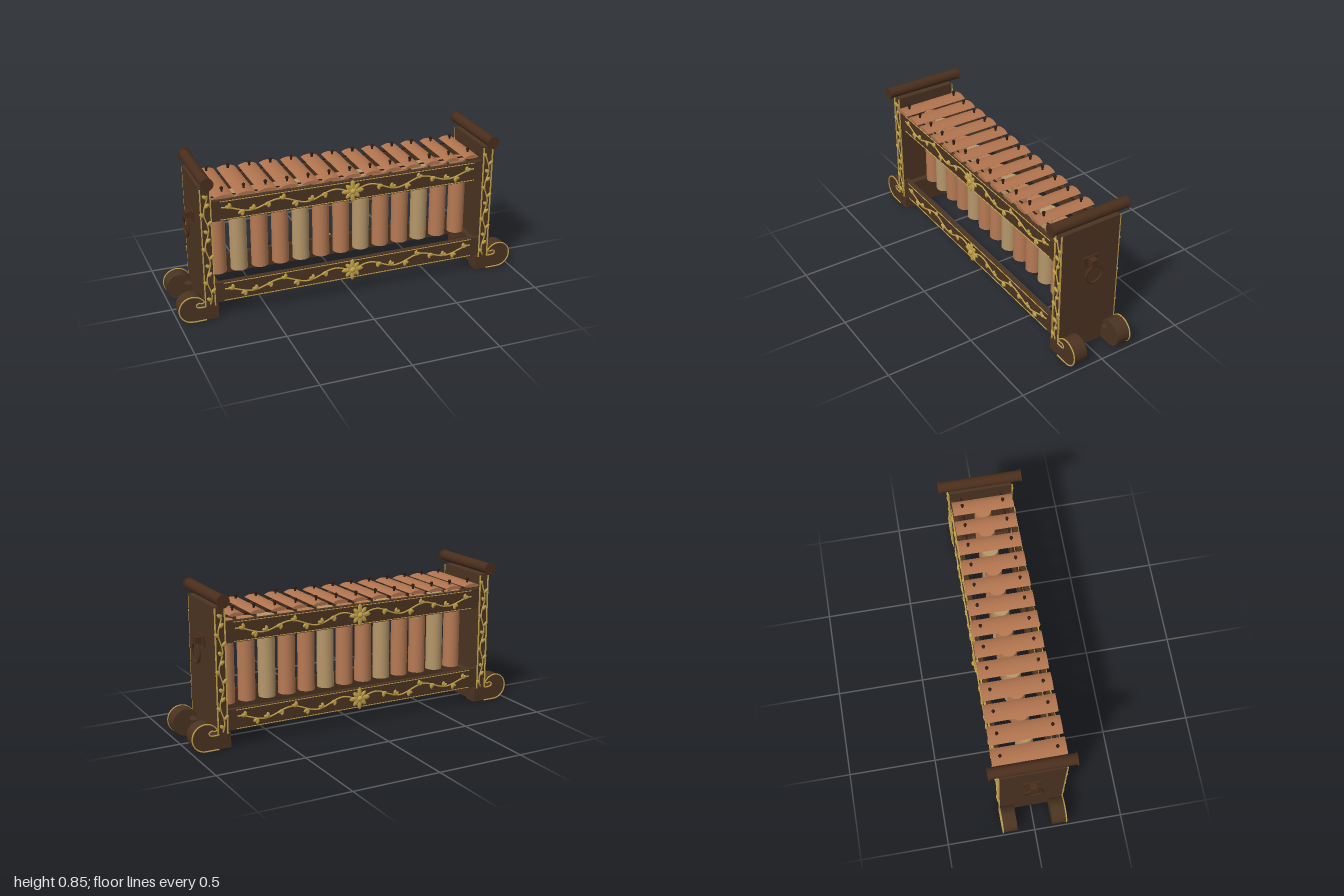
import * as THREE from 'three';

const material = (name, color, extra = {}) => {
  const m = new THREE.MeshStandardMaterial({ color, ...extra });
  m.name = name;
  return m;
};

export function createModel() {
  const wood = material('dark carved wood', 0x4b3321);
  const turned = material('turned wood', 0x4a2e1c);
  const gold = material('gold carving', 0xc2a24c);
  const keyWood = material('key wood', 0xb0734e);
  const tubeBrown = material('brown tube', 0xb67a54, { side: THREE.DoubleSide });
  const tubeTan = material('tan bamboo', 0xb6976a, { side: THREE.DoubleSide });
  const iron = material('dark iron', 0x2e1e15);

  const model = new THREE.Group();
  model.name = 'barInstrument';
  const V = (x, y, z) => new THREE.Vector3(x, y, z);

  const add = (parent, name, geo, mat, x = 0, y = 0, z = 0) => {
    const mesh = new THREE.Mesh(geo, mat);
    mesh.name = name;
    mesh.position.set(x, y, z);
    parent.add(mesh);
    return mesh;
  };
  // Box given by its limits
  const box = (parent, name, mat, x0, x1, y0, y1, z0, z1) =>
    add(parent, name, new THREE.BoxGeometry(Math.abs(x1 - x0), y1 - y0, z1 - z0), mat,
      (x0 + x1) / 2, (y0 + y1) / 2, (z0 + z1) / 2);
  const tube = (parent, name, points, r, mat, n = 60) =>
    add(parent, name, new THREE.TubeGeometry(new THREE.CatmullRomCurve3(points), n, r, 6), mat);

  // Leaf and petal: a flattened pointed bud, root at the origin, along +x
  const bud = new THREE.SphereGeometry(1, 10, 6);
  const leaf = (parent, x, y, z, angle, length = 0.034, width = 0.02, name = 'leaf') => {
    const m = add(parent, name, bud, gold,
      x + Math.cos(angle) * length / 2, y + Math.sin(angle) * length / 2, z);
    m.scale.set(length / 2, width / 2, 0.006);
    m.rotation.z = angle;
  };

  // Scroll foot outline, s = +1 or -1 for the side
  const footOutline = (s) => {
    const pts = [[0.78, 0.09], [0.78, 0.01], [0.85, 0.01]];
    for (let i = 0; i <= 22; i++) {
      const a = -Math.PI / 2 + (i / 22) * (Math.PI * 1.34);
      pts.push([0.924 + 0.075 * Math.cos(a), 0.085 + 0.075 * Math.sin(a)]);
    }
    pts.push([0.872, 0.114], [0.888, 0.118], [0.903, 0.108], [0.9, 0.095], [0.885, 0.09]);
    return pts.map(([x, y]) => new THREE.Vector2(s * x, y));
  };

  // End panels, handles and ring pulls
  for (const s of [-1, 1]) {
    box(model, 'endPanel', wood, s * 0.795, s * 0.855, 0.01, 0.78, -0.178, 0.178);
    box(model, 'endBrace', wood, s * 0.76, s * 0.795, 0.12, 0.195, -0.15, 0.15);
    const bar = add(model, 'carryHandle', new THREE.CylinderGeometry(0.031, 0.031, 0.46, 32), turned, s * 0.825, 0.82, 0);
    bar.rotation.x = Math.PI / 2;
    for (const z of [-0.231, 0.231]) {
      const cap = add(model, 'handleCap', new THREE.CylinderGeometry(0.036, 0.036, 0.008, 32), turned, s * 0.825, 0.82, z);
      cap.rotation.x = Math.PI / 2;
    }
    box(model, 'ringPlate', turned, s * 0.855, s * 0.864, 0.535, 0.595, -0.047, 0.047);
    box(model, 'ringStud', turned, s * 0.864, s * 0.898, 0.548, 0.588, -0.018, 0.018);
    const ring = add(model, 'pullRing', new THREE.TorusGeometry(0.051, 0.007, 10, 36), turned, s * 0.892, 0.5, 0);
    ring.rotation.y = Math.PI / 2;
  }

  // One long face: rails, feet and gold carving; made twice and turned around
  const makeSide = (name) => {
    const g = new THREE.Group();
    g.name = name;
    model.add(g);

    for (const y0 of [0.1, 0.58]) {
      const yc = y0 + 0.057;
      box(g, 'rail', wood, -0.795, 0.795, y0, y0 + 0.115, 0.147, 0.174);
      for (const y of [y0 + 0.004, y0 + 0.108]) {
        box(g, 'railBead', gold, -0.745, 0.745, y, y + 0.003, 0.174, 0.178);
      }
      for (const s of [-1, 1]) {
        // Winding vine with leaf pairs
        const wave = (t) => yc + 0.024 * Math.sin(t * Math.PI * 4.4 + 0.3) * (1 - 0.25 * t);
        const pts = [];
        for (let i = 0; i <= 30; i++) pts.push(V(s * (0.04 + 0.7 * i / 30), wave(i / 30), 0.176));
        tube(g, 'railVine', pts, 0.0045, gold, 80);
        [0.16, 0.27, 0.4, 0.5, 0.62, 0.74, 0.83, 0.93].forEach((t, i) => {
          const up = i % 2 ? 1 : -1;
          const x = s * (0.04 + 0.7 * t);
          for (const a of [0.45, 1.35]) {
            leaf(g, x, wave(t), 0.179, s > 0 ? up * a : Math.PI - up * a, 0.032, 0.02);
          }
        });
      }
      // Central flower
      for (let i = 0; i < 8; i++) {
        leaf(g, 0, yc, 0.181, i * Math.PI / 4, i % 2 ? 0.056 : 0.066, 0.027, 'petal');
      }
      const eye = add(g, 'flowerCentre', new THREE.SphereGeometry(0.016, 16, 10), gold, 0, yc, 0.185);
      eye.scale.z = 0.85;
    }

    for (const s of [-1, 1]) {
      // Post border and climbing vine
      for (const x of [0.798, 0.852]) {
        box(g, 'postBead', gold, s * (x - 0.003), s * (x + 0.003), 0.09, 0.775, 0.177, 0.185);
      }
      const climb = (y) => s * (0.825 + 0.011 * Math.sin(y * 32));
      const pts = [];
      for (let i = 0; i <= 40; i++) {
        const y = 0.1 + 0.64 * i / 40;
        pts.push(V(climb(y), y, 0.18));
      }
      tube(g, 'postVine', pts, 0.004, gold, 80);
      for (let i = 0; i < 13; i++) {
        const y = 0.12 + i * 0.05;
        leaf(g, climb(y), y, 0.184, i % 2 ? 0.75 : Math.PI - 0.75, 0.034, 0.021);
      }
      // Scroll foot with gold edge
      const outline = footOutline(s);
      add(g, 'scrollFoot', new THREE.ExtrudeGeometry(new THREE.Shape(outline),
        { depth: 0.08, bevelEnabled: false }), wood, 0, 0, 0.1);
      const edge = outline.slice(2).concat([new THREE.Vector2(s * 0.85, 0.09)]);
      tube(g, 'footEdge', edge.map((p) => V(p.x, p.y, 0.181)), 0.004, gold, 100);
    }
    return g;
  };
  makeSide('frontSide');
  makeSide('backSide').rotation.y = Math.PI;

  // Keys, pegs and resonator tubes
  const count = 13;
  const pegZ = (t) => 0.152 - 0.037 * t;
  for (let i = 0; i < count; i++) {
    const t = i / (count - 1);
    const x = -0.727 + 1.454 * t;
    const w = 0.053 - 0.01 * t;
    const half = 0.2 - 0.03 * t;
    // Domed cross-section
    const s = new THREE.Shape();
    s.moveTo(-w, 0.725);
    s.quadraticCurveTo(-w * 0.9, 0.718, -w * 0.5, 0.717);
    s.lineTo(w * 0.5, 0.717);
    s.quadraticCurveTo(w * 0.9, 0.718, w, 0.725);
    s.quadraticCurveTo(w * 0.6, 0.737, 0, 0.738);
    s.quadraticCurveTo(-w * 0.6, 0.737, -w, 0.725);
    add(model, 'key', new THREE.ExtrudeGeometry(s,
      { depth: half * 2, bevelEnabled: false, curveSegments: 6 }), keyWood, x, 0, -half);
    for (const z of [-pegZ(t), pegZ(t)]) {
      add(model, 'peg', new THREE.CylinderGeometry(0.006, 0.006, 0.055, 10), iron, x, 0.73, z);
      add(model, 'pegHead', new THREE.SphereGeometry(0.0095, 12, 8), iron, x, 0.757, z);
    }
    add(model, 'resonatorTube', new THREE.CylinderGeometry(0.048, 0.048, 0.46, 28, 1, false),
      i % 3 === 1 ? tubeTan : tubeBrown, x, 0.43, 0);
  }

  // Cords that carry the keys
  for (const s of [-1, 1]) {
    tube(model, 'keyCord', [V(-0.795, 0.713, s * 0.154), V(0, 0.713, s * pegZ(0.5)), V(0.795, 0.713, s * 0.113)], 0.0045, iron, 12);
  }
  return model;
}
